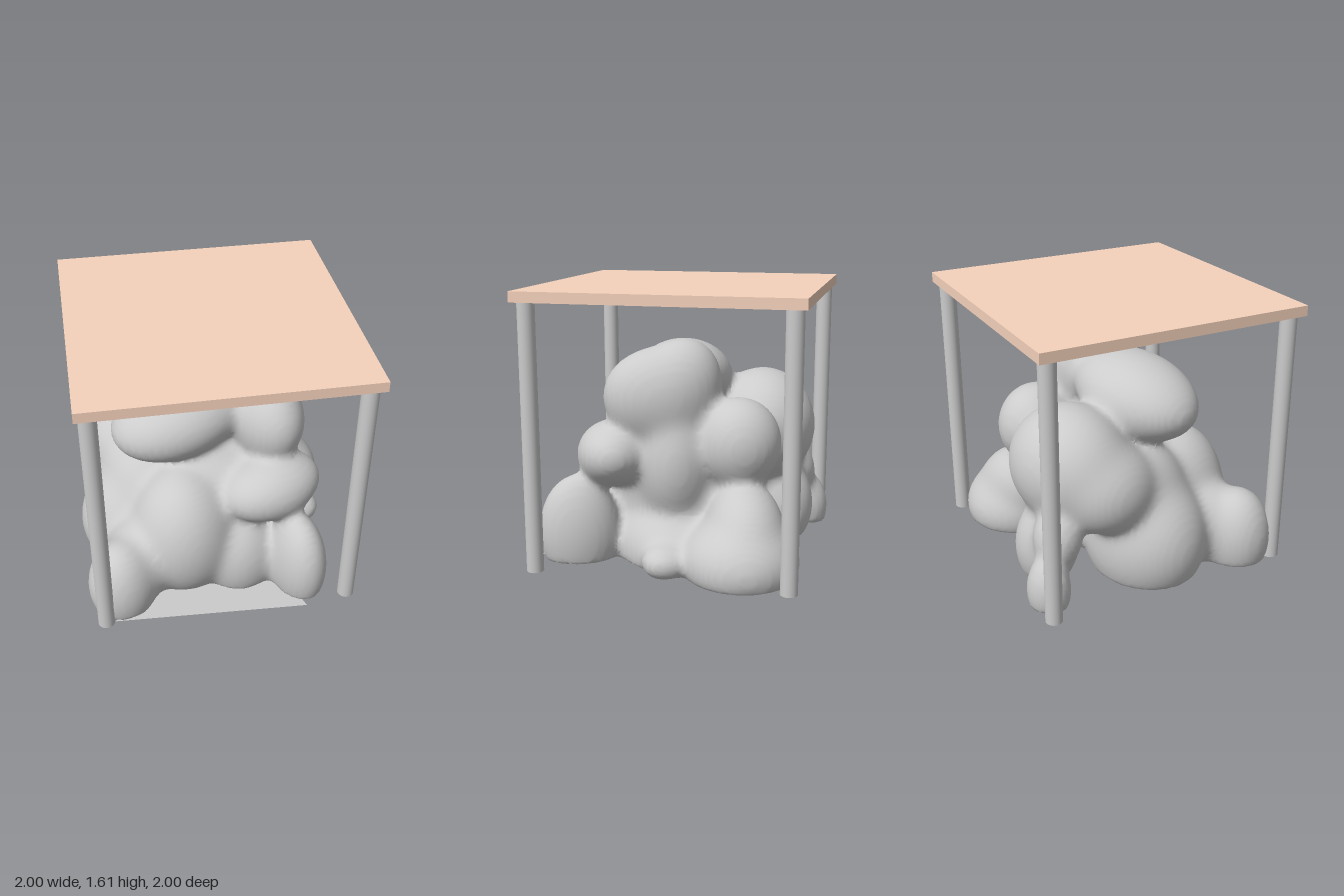
import * as THREE from 'three';
import { toCreasedNormals } from 'three/addons/utils/BufferGeometryUtils.js';

// Lobes of the boulder: centre x y z, radii x y z, optional tilt about z
const LOBES = [
  [0, 0.4, 0, 0.42, 0.5, 0.45],                   // core
  [0.18, 0.06, 0.08, 0.4, 0.3, 0.36],             // low skirt
  [-0.2, 1.01, 0.02, 0.42, 0.235, 0.3, 0.16],     // upper left
  [0.27, 0.98, 0.18, 0.22, 0.28, 0.33],           // upper right
  [0.27, 1.09, 0.04, 0.18, 0.22, 0.2],            // peak
  [0.28, 0.6, 0.1, 0.24, 0.35, 0.22],             // neck
  [-0.15, 0.71, -0.48, 0.37, 0.35, 0.32],         // upper back
  [-0.4, 0.6, -0.4, 0.23, 0.25, 0.27],            // left back shoulder
  [0.37, 0.72, -0.27, 0.23, 0.26, 0.24],          // right shoulder
  [0.2, 0.63, 0.46, 0.3, 0.19, 0.21, 0.1],        // front shoulder
  [0.27, 0.17, 0.67, 0.16, 0.34, 0.23],           // front column
  [0, 0.15, 0.45, 0.22, 0.3, 0.2],                // front fold
  [-0.3, 0.32, 0.26, 0.31, 0.43, 0.32],           // front body
  [-0.42, 0.2, -0.12, 0.38, 0.4, 0.34],           // left body
  [-0.38, 0.45, -0.12, 0.24, 0.32, 0.28],         // left side
  [-0.75, 0.14, 0.35, 0.2, 0.3, 0.2],             // left foot
  [-0.58, 0.2, 0.25, 0.2, 0.25, 0.22],            // left foot web
  [0.53, 0.27, -0.29, 0.29, 0.23, 0.21, -0.35],   // right foot, top
  [0.6, 0.09, -0.26, 0.33, 0.25, 0.33],           // right foot, base
  [0.59, 0.08, 0.18, 0.12, 0.09, 0.12],           // right toe
  [-0.34, 0.1, -0.82, 0.13, 0.2, 0.12],           // back foot
  [-0.3, 0.37, -0.71, 0.14, 0.16, 0.13],          // back knob
  [-0.08, 0.2, -0.6, 0.18, 0.28, 0.19],           // back column
];
const BLEND = 0.032;

// Soft union of the lobes, cut flat at the ground
function field(x, y, z) {
  let sum = 0;
  for (const [cx, cy, cz, rx, ry, rz, tilt = 0] of LOBES) {
    const c = Math.cos(tilt), s = Math.sin(tilt), dx = x - cx, dy = y - cy;
    const u = (dx * c + dy * s) / rx, v = (dy * c - dx * s) / ry, w = (z - cz) / rz;
    const k0 = Math.hypot(u, v, w), k1 = Math.hypot(u / rx, v / ry, w / rz) || 1;
    const d = k0 < 0.01 ? -Math.min(rx, ry, rz) : k0 * (k0 - 1) / k1;
    sum += Math.exp(-d / BLEND);
  }
  return Math.max(-BLEND * Math.log(sum + 1e-200), -y);
}

// Skins the field with one vertex per crossed grid cell
function skinField(step, min, max) {
  const n = min.map((m, a) => Math.ceil((max[a] - m) / step) + 1);
  const stride = [1, n[0], n[0] * n[1]];
  const values = new Float32Array(n[0] * n[1] * n[2]);
  const at = (p) => p[0] + p[1] * stride[1] + p[2] * stride[2];
  const eachPoint = (lo, fn) => {
    for (let k = lo; k < n[2] - 1; k++)
      for (let j = lo; j < n[1] - 1; j++)
        for (let i = lo; i < n[0] - 1; i++) fn([i, j, k]);
  };
  values.fill(1);
  eachPoint(0, (p) => {
    values[at(p)] = field(...p.map((q, a) => min[a] + q * step));
  });

  const positions = [], indices = [], cellVertex = new Map();
  eachPoint(0, (p) => {
    const base = at(p), mean = [0, 0, 0];
    let count = 0;
    for (let a = 0; a < 3; a++) {
      const b = (a + 1) % 3, c = (a + 2) % 3;
      for (let e = 0; e < 4; e++) {
        const ob = e & 1, oc = e >> 1;
        const i0 = base + ob * stride[b] + oc * stride[c];
        const v0 = values[i0], v1 = values[i0 + stride[a]];
        if ((v0 < 0) === (v1 < 0)) continue;
        mean[a] += v0 / (v0 - v1);
        mean[b] += ob;
        mean[c] += oc;
        count++;
      }
    }
    if (!count) return;
    cellVertex.set(base, positions.length / 3);
    positions.push(...mean.map((m, a) => min[a] + (p[a] + m / count) * step));
  });

  // A quad around every grid edge that crosses the surface
  eachPoint(1, (p) => {
    const base = at(p);
    for (let a = 0; a < 3; a++) {
      const inside = values[base] < 0;
      if (inside === values[base + stride[a]] < 0) continue;
      const sb = stride[(a + 1) % 3], sc = stride[(a + 2) % 3];
      const q = [base - sb - sc, base - sc, base, base - sb].map((i) => cellVertex.get(i));
      if (!inside) q.reverse();
      indices.push(q[0], q[1], q[2], q[0], q[2], q[3]);
    }
  });

  const geometry = new THREE.BufferGeometry();
  geometry.setAttribute('position', new THREE.Float32BufferAttribute(positions, 3));
  geometry.setIndex(indices);
  return toCreasedNormals(geometry, 0.9);
}

export function createModel() {
  const model = new THREE.Group();
  const grey = new THREE.MeshStandardMaterial({ color: 0xcccccc });
  const thinGrey = new THREE.MeshStandardMaterial({ color: 0xcccccc, side: THREE.DoubleSide });
  const tan = new THREE.MeshStandardMaterial({ color: 0xf6d2bc });

  const add = (parent, name, geometry, material, x = 0, y = 0, z = 0) => {
    const mesh = new THREE.Mesh(geometry, material);
    mesh.name = name;
    mesh.position.set(x, y, z);
    parent.add(mesh);
  };

  // Square table, turned about the upright axis
  const table = new THREE.Group();
  table.name = 'table';
  table.rotation.y = -0.298;
  add(table, 'tableTop', new THREE.BoxGeometry(1.6, 0.06, 1.6), tan, 0, 1.58, 0);
  const leg = new THREE.CylinderGeometry(0.049, 0.049, 1.54, 32);
  for (const sx of [-1, 1])
    for (const sz of [-1, 1]) add(table, 'tableLeg', leg, grey, sx * 0.73, 0.78, sz * 0.73);
  model.add(table);

  // Lumpy boulder under the table
  add(model, 'boulder', skinField(0.026, [-1.05, -0.065, -1.05], [1.05, 1.43, 1.05]), grey);

  // Thin flat sheet on the ground between the left foot and the front column
  const outline = [[-0.86, 0.5], [0.22, 0.9], [0.2, 0.4], [-0.6, 0.2]];
  const sheet = new THREE.ShapeGeometry(
    new THREE.Shape(outline.map(([x, z]) => new THREE.Vector2(x, -z))));
  sheet.rotateX(-Math.PI / 2);
  add(model, 'groundSheet', sheet, thinGrey, 0, 0.003, 0);
  return model;
}
